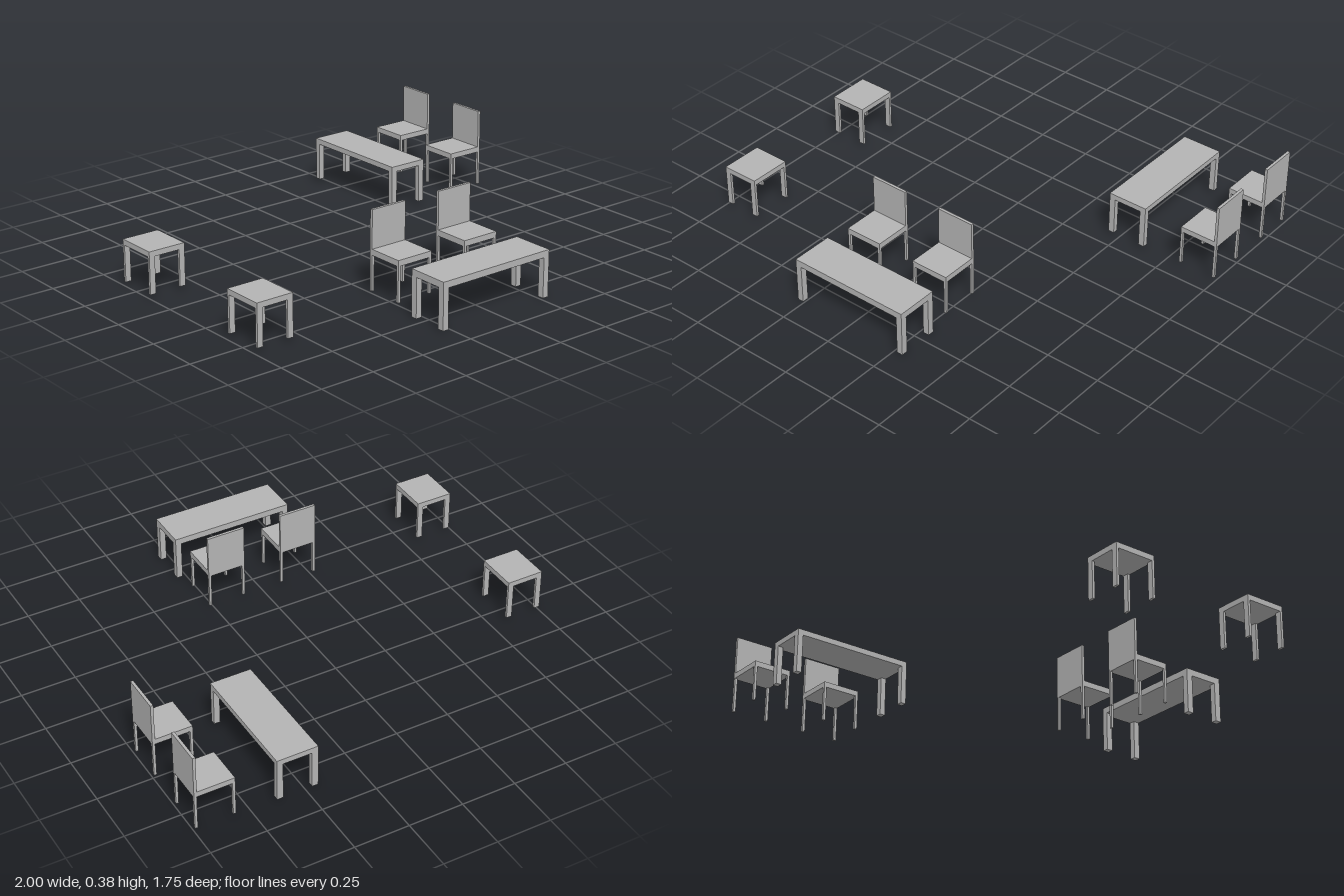
import * as THREE from 'three';

export function createModel() {
  const model = new THREE.Group();
  model.name = 'furnitureSet';
  const grey = new THREE.MeshStandardMaterial({ color: 0xb4b4b4 });
  grey.name = 'plainGrey';

  // Box given by its minimum and maximum corners
  function addBox(parent, name, [x0, y0, z0], [x1, y1, z1]) {
    const mesh = new THREE.Mesh(new THREE.BoxGeometry(x1 - x0, y1 - y0, z1 - z0), grey);
    mesh.position.set((x0 + x1) / 2, (y0 + y1) / 2, (z0 + z1) / 2);
    mesh.name = name;
    parent.add(mesh);
  }

  // Flat slab on four corner legs: [x0, x1], [z0, z1], [floor, underside, top], [leg width, leg depth]
  function addTable(name, slabName, [x0, x1], [z0, z1], [floor, under, top], [lw, ld]) {
    const group = new THREE.Group();
    group.name = name;
    addBox(group, slabName, [x0, under, z0], [x1, top, z1]);
    for (const x of [x0, x1 - lw]) {
      for (const z of [z0, z1 - ld]) {
        addBox(group, 'leg', [x, floor, z], [x + lw, under, z + ld]);
      }
    }
    model.add(group);
    return group;
  }

  // Long tables
  addTable('frontTable', 'tableTop', [-0.285, 0.293], [0.68, 0.874], [0, 0.18, 0.21], [0.028, 0.03]);
  addTable('sideTable', 'tableTop', [0.45, 0.638], [-0.88, -0.317], [0.02, 0.195, 0.22], [0.028, 0.025]);

  // Stools
  addTable('stool', 'seat', [-1, -0.825], [-0.337, -0.14], [0.02, 0.185, 0.21], [0.027, 0.012]);
  addTable('stool', 'seat', [-0.985, -0.81], [0.384, 0.58], [0.02, 0.185, 0.21], [0.027, 0.012]);

  // Chairs facing the front table
  const legSize = [0.012, 0.012];
  for (const [x0, x1] of [[-0.266, -0.088], [0.095, 0.274]]) {
    const chair = addTable('frontChair', 'seat', [x0, x1], [0.394, 0.574], [0.02, 0.18, 0.207], legSize);
    addBox(chair, 'backrest', [x0, 0.18, 0.394], [x1, 0.38, 0.407]);
  }

  // Chairs facing the side table
  for (const [z0, z1] of [[-0.868, -0.69], [-0.507, -0.327]]) {
    const chair = addTable('sideChair', 'seat', [0.817, 0.998], [z0, z1], [0.02, 0.18, 0.205], legSize);
    addBox(chair, 'backrest', [0.985, 0.18, z0], [0.998, 0.38, z1]);
  }

  return model;
}
